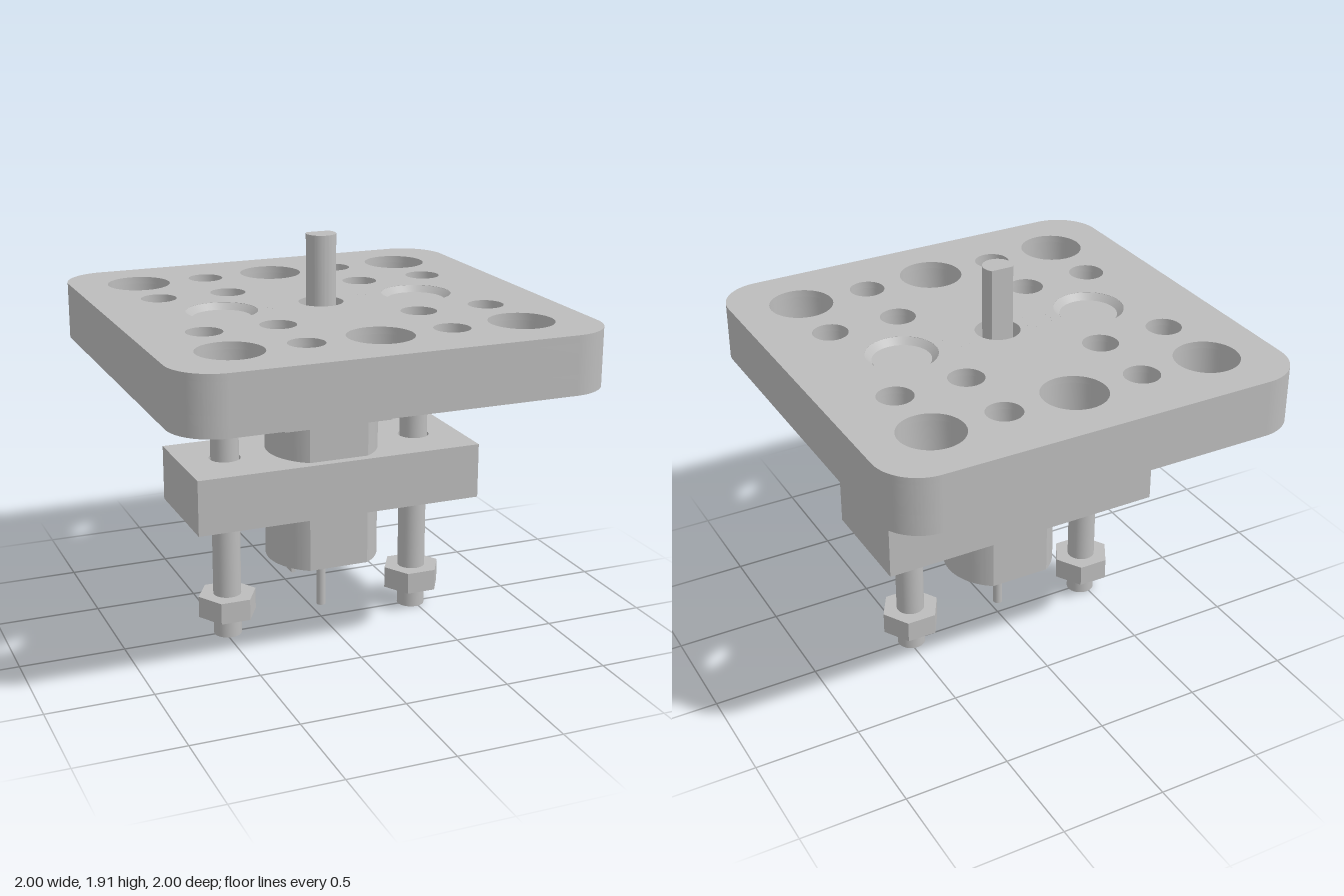
import * as THREE from 'three';
import { toCreasedNormals } from 'three/addons/utils/BufferGeometryUtils.js';

const metal = new THREE.MeshStandardMaterial({ color: 0xbcbcbc });
metal.name = 'plain grey metal';

export function createModel() {
  const root = new THREE.Group();
  root.name = 'motorMount';
  const add = (name, geo, x = 0, y = 0, z = 0, parent = root) => {
    const m = new THREE.Mesh(geo, metal);
    m.name = name;
    m.position.set(x, y, z);
    parent.add(m);
    return m;
  };
  const group = (name) => {
    const g = new THREE.Group();
    g.name = name;
    root.add(g);
    return g;
  };
  // Upright cylinder between two heights
  const cyl = (name, r, y0, y1, x = 0, z = 0, parent = root, sides = 40) =>
    add(name, new THREE.CylinderGeometry(r, r, y1 - y0, sides), x, (y0 + y1) / 2, z, parent);
  const box = (name, w, d, y0, y1, x = 0, z = 0, parent = root) =>
    add(name, new THREE.BoxGeometry(w, y1 - y0, d), x, (y0 + y1) / 2, z, parent);
  // Horizontal slab from an outline whose second axis is -z
  const slab = (name, shape, y0, y1, parent = root) => {
    const geo = new THREE.ExtrudeGeometry(shape, { depth: y1 - y0, bevelEnabled: false, curveSegments: 24 });
    geo.rotateX(-Math.PI / 2);
    return add(name, toCreasedNormals(geo, 0.5), 0, y0, 0, parent);
  };
  const round = (x, z, r) => new THREE.Path().absarc(x, -z, r, 0, Math.PI * 2, true);
  const hexPoints = (x, z, r) => Array.from({ length: 6 }, (_, i) =>
    new THREE.Vector2(x + r * Math.cos(i * Math.PI / 3), -z + r * Math.sin(i * Math.PI / 3)));
  const hex = (x, z, r) => new THREE.Path(hexPoints(x, z, r));

  const rodX = 0.485, screwX = 0.205;

  // Top plate: rounded square in layers for the nut pockets and countersinks
  const plate = group('topPlate');
  const plateShape = (rodHole, pockets) => {
    const s = new THREE.Shape(), c = 0.79, r = 0.21, q = Math.PI / 2;
    s.absarc(c, c, r, 0, q);
    s.absarc(-c, c, r, q, 2 * q);
    s.absarc(-c, -c, r, 2 * q, 3 * q);
    s.absarc(c, -c, r, 3 * q, 4 * q);
    s.holes.push(round(0, 0, 0.105));
    for (const z of [-0.68, 0.68]) {
      for (const x of [-0.68, 0, 0.68]) s.holes.push(round(x, z, 0.15));
      for (const x of [-0.34, 0.34])
        s.holes.push(pockets && z < 0 ? hex(x, z, 0.145) : round(x, z, 0.083));
      for (const x of [-0.68, -0.34, 0.34, 0.68]) s.holes.push(round(x, z / 2, 0.083));
    }
    for (const k of [-1, 1]) {
      s.holes.push(round(k * rodX, 0, rodHole));
      s.holes.push(round(k * screwX, 0, 0.07));
    }
    return s;
  };
  slab('plateBottom', plateShape(0.075, true), 1.323, 1.42, plate);
  slab('plateCore', plateShape(0.075, false), 1.42, 1.56, plate);
  slab('plateTop', plateShape(0.165, false), 1.56, 1.593, plate);

  // Clamp bar with hex pockets on its underside
  const bar = group('clampBar');
  const barShape = (pockets) => {
    const s = new THREE.Shape([[-0.705, -0.27], [0.705, -0.27], [0.705, 0.27], [-0.705, 0.27]]
      .map(([x, y]) => new THREE.Vector2(x, y)));
    for (const k of [-1, 1]) s.holes.push(pockets ? hex(k * rodX, 0, 0.15) : round(k * rodX, 0, 0.075));
    return s;
  };
  slab('barPocketLayer', barShape(true), 0.623, 0.72, bar);
  slab('barBody', barShape(false), 0.72, 0.89, bar);

  // Countersunk bolts, nuts and motor screws on both sides
  for (const k of [-1, 1]) {
    const bolt = group(k > 0 ? 'leftBolt' : 'rightBolt');
    cyl('boltRod', 0.067, 0, 1.56, k * rodX, 0, bolt);
    cyl('boltHead', 0.135, 1.54, 1.564, k * rodX, 0, bolt);
    add('countersink', new THREE.LatheGeometry(
      [new THREE.Vector2(0.165, 1.592), new THREE.Vector2(0.135, 1.562)], 48), k * rodX, 0, 0, bolt);
    const nut = new THREE.Shape(hexPoints(k * rodX, 0, 0.144));
    nut.holes.push(round(k * rodX, 0, 0.066));
    slab('nut', nut, 0.102, 0.207, bolt);
    cyl('motorScrew', 0.07, 1.34, 1.593, k * screwX, 0);
  }

  // Motor can: a cylinder with flats front and back
  const motor = group('motor');
  const a = Math.asin(0.227 / 0.27);
  const can = new THREE.Shape();
  can.absarc(0, 0, 0.27, -a, a);
  can.absarc(0, 0, 0.27, Math.PI - a, Math.PI + a);
  can.closePath();
  slab('motorCan', can, 0.352, 1.052, motor);
  cyl('rearBoss', 0.113, 0.3, 0.352, 0, 0, motor);
  cyl('rearShaft', 0.023, 0.07, 0.3, 0, 0, motor, 24);
  for (const k of [-1, 1]) box('terminal', 0.02, 0.07, 0.272, 0.36, k * 0.157, 0, motor);

  // Gearbox: two end plates with gears and posts between them
  const gearbox = group('gearbox');
  box('lowerGearPlate', 0.54, 0.454, 1.052, 1.105, 0, 0, gearbox);
  box('upperGearPlate', 0.54, 0.454, 1.235, 1.29, 0, 0, gearbox);
  cyl('mainGear', 0.128, 1.105, 1.235, 0.032, 0.042, gearbox);
  cyl('rightPost', 0.062, 1.105, 1.33, -0.157, 0.06, gearbox);
  cyl('leftPost', 0.065, 1.105, 1.33, 0.15, -0.105, gearbox);
  cyl('shaftBushing', 0.09, 1.29, 1.4, 0, 0, gearbox);

  // Output shaft with a flat on the back
  const f = Math.asin(0.045 / 0.07);
  const dShape = new THREE.Shape();
  dShape.absarc(0, 0, 0.07, Math.PI - f, Math.PI * 2 + f);
  dShape.closePath();
  slab('outputShaft', dShape, 1.38, 1.913);

  return root;
}
